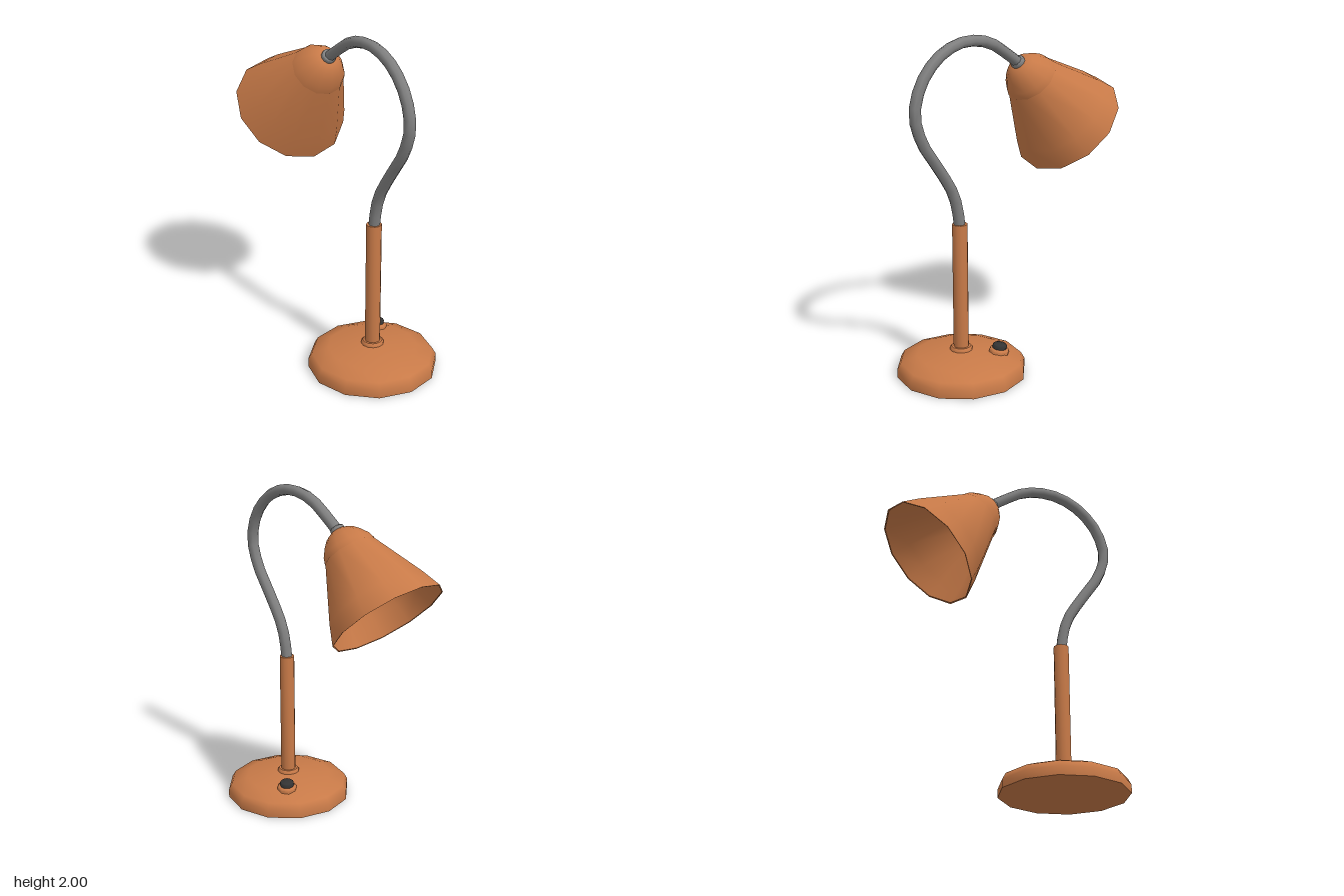
import * as THREE from 'three';
import { toCreasedNormals } from 'three/addons/utils/BufferGeometryUtils.js';

const material = (color) => new THREE.MeshStandardMaterial({ color });
const orange = material(0xc87a48);
const grey = material(0x808080);
const black = material(0x333333);
const orangeThin = material(0xc87a48);
orangeThin.side = THREE.DoubleSide;

function addMesh(parent, name, geometry, mat) {
  const mesh = new THREE.Mesh(geometry, mat);
  mesh.name = name;
  parent.add(mesh);
  return mesh;
}

// Profile of [radius, height] pairs, listed from the bottom up
function lathe(profile, sides, phase = 0, crease = 0.9) {
  const points = profile.map(([r, y]) => new THREE.Vector2(r, y));
  return toCreasedNormals(new THREE.LatheGeometry(points, sides, phase), crease);
}

export function createModel() {
  const lamp = new THREE.Group();
  lamp.name = 'deskLamp';

  // Weighted foot with collar and post
  const stand = new THREE.Group();
  stand.name = 'stand';
  stand.position.set(0.256, 0, 0.282);
  lamp.add(stand);
  addMesh(stand, 'base', lathe(
    [[0, 0], [0.383, 0], [0.383, 0.05], [0.362, 0.088], [0.265, 0.124], [0.06, 0.147], [0, 0.147]],
    12, THREE.MathUtils.degToRad(12)), orange);
  addMesh(stand, 'postCollar', lathe(
    [[0.067, 0.135], [0.067, 0.157], [0.058, 0.168], [0.04, 0.168]], 12, 0.2), orange);
  addMesh(stand, 'post', lathe(
    [[0.045, 0.14], [0.045, 0.922], [0, 0.922]], 12, 0.2), orange);

  // Push switch, tilted with the slope of the base
  const powerSwitch = new THREE.Group();
  powerSwitch.name = 'powerSwitch';
  powerSwitch.position.set(0.26, 0.125, 0.06);
  powerSwitch.rotation.x = -0.13;
  lamp.add(powerSwitch);
  addMesh(powerSwitch, 'switchCollar', lathe(
    [[0.06, -0.02], [0.06, 0.018], [0.05, 0.028], [0, 0.028]], 8, 0.2), orange);
  addMesh(powerSwitch, 'switchButton', lathe(
    [[0.042, 0.02], [0.042, 0.048], [0.036, 0.054], [0, 0.054]], 12), black);

  // Gooseneck, bent within one diagonal upright plane
  const bend = [
    [0.256, 0.9], [0.268, 1.02], [0.29, 1.12], [0.362, 1.29], [0.43, 1.44], [0.463, 1.6],
    [0.435, 1.76], [0.36, 1.89], [0.27, 1.955], [0.19, 1.967], [0.1, 1.94], [0.02, 1.87], [-0.06, 1.785],
  ].map(([x, y]) => new THREE.Vector3(x, y, 0.282 + (x - 0.256) * 1.115));
  addMesh(lamp, 'gooseneck',
    new THREE.TubeGeometry(new THREE.CatmullRomCurve3(bend), 22, 0.033, 8), grey);

  // Lamp head: local +y runs from the mouth to the tip
  const head = new THREE.Group();
  head.name = 'lampHead';
  const up = new THREE.Vector3(0.466, 0.72, 0.517).normalize();
  const side = new THREE.Vector3(0.744, 0, -0.668).normalize();
  const front = new THREE.Vector3().crossVectors(side, up).normalize();
  side.crossVectors(up, front);
  head.setRotationFromMatrix(new THREE.Matrix4().makeBasis(side, up, front));
  head.position.set(-0.05, 1.8, -0.055);
  lamp.add(head);
  addMesh(head, 'shade', lathe(
    [[0.342, -0.588], [0.35, -0.59], [0.305, -0.47], [0.16, -0.15], [0.13, -0.09]], 12, 0, 1.0), orangeThin);
  addMesh(head, 'shadeCap', lathe(
    [[0.163, -0.15], [0.15, -0.11], [0.117, -0.06], [0.087, -0.026], [0.05, -0.005], [0, -0.005]],
    12, 0, 1.0), orangeThin);
  addMesh(head, 'neckRing', lathe(
    [[0.043, -0.015], [0.043, 0.014], [0.036, 0.02], [0.02, 0.02]], 12), grey);

  return lamp;
}
